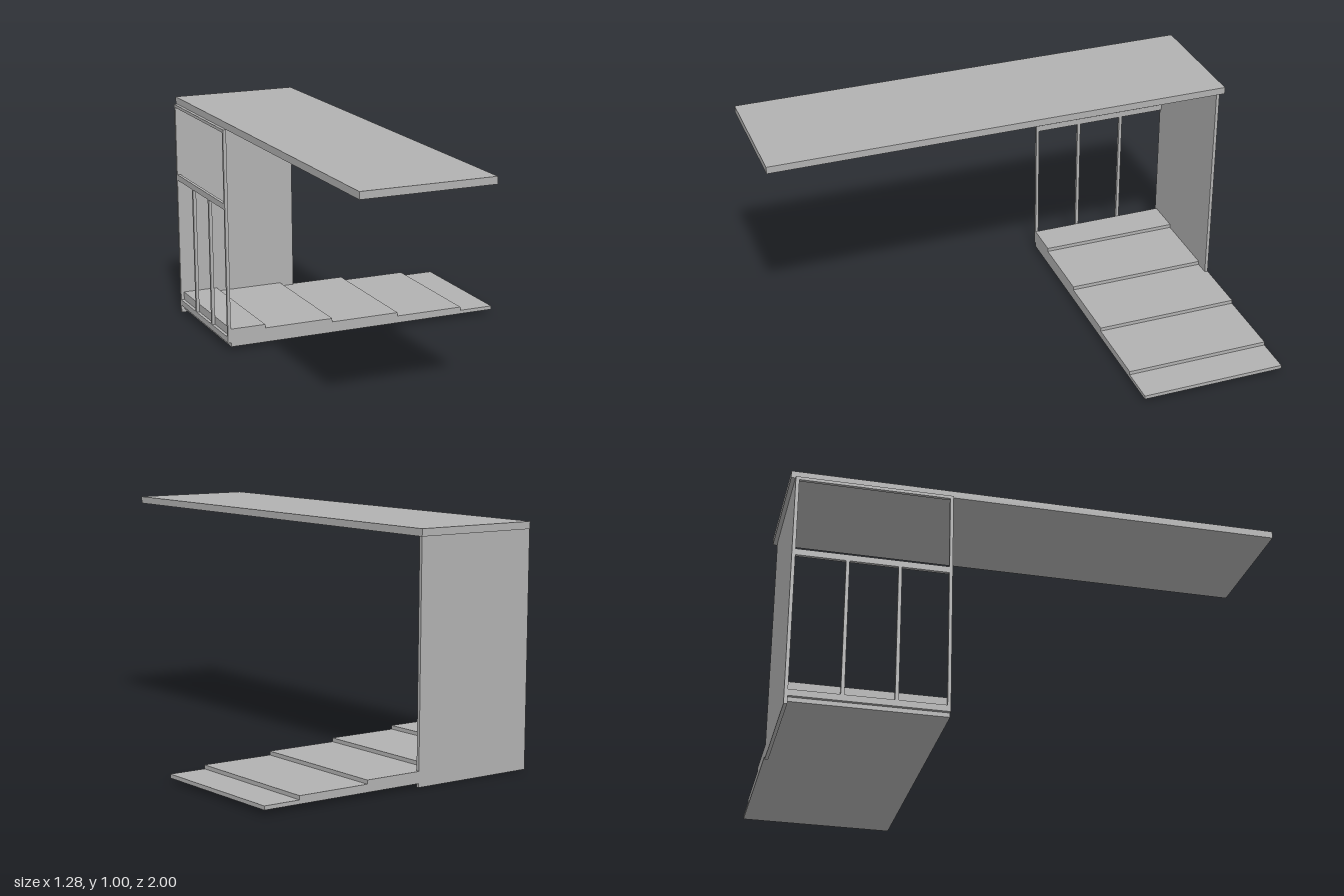
import * as THREE from 'three';

export function createModel() {
  const group = new THREE.Group();
  const grey = new THREE.MeshStandardMaterial({ color: 0xb2b2b2 });
  grey.name = 'plain grey';

  // Box given by its extents on each axis
  const box = (name, [x0, x1], [y0, y1], [z0, z1]) => {
    const mesh = new THREE.Mesh(new THREE.BoxGeometry(x1 - x0, y1 - y0, z1 - z0), grey);
    mesh.position.set((x0 + x1) / 2, (y0 + y1) / 2, (z0 + z1) / 2);
    mesh.name = name;
    group.add(mesh);
  };

  const back = -0.983, wallFront = -0.969, front = -0.354;
  const frameX = [-0.643, -0.629];

  // Long cantilevered roof and the wall that carries it
  box('roof', [-0.629, -0.075], [0.97, 1], [-1, 1]);
  box('wall', [-0.643, -0.089], [0, 0.97], [back, wallFront]);

  // Stepped deck: one solid extruded from its stair profile
  const ends = [-0.471, -0.155, 0.164, 0.481, 0.64];
  const rise = 0.016;
  const profile = new THREE.Shape();
  profile.moveTo(-0.629, rise);
  profile.lineTo(0.64, rise);
  for (let i = 4; i >= 0; i--) {
    const top = rise * (6 - i);
    profile.lineTo(ends[i], top);
    profile.lineTo(i > 0 ? ends[i - 1] : -0.629, top);
  }
  const deck = new THREE.Mesh(
    new THREE.ExtrudeGeometry(profile, { depth: front - back, bevelEnabled: false }), grey);
  deck.position.z = back;
  deck.name = 'steppedDeck';
  group.add(deck);

  // Open window frame on the side: rails, front post and two mullions
  const span = [wallFront, front];
  box('bottomRail', frameX, [0.034, 0.06], span);
  box('middleRail', frameX, [0.624, 0.65], span);
  box('topRail', frameX, [0.957, 0.97], span);
  box('frontPost', frameX, [0.034, 0.97], [front - 0.013, front]);
  for (const z of [-0.561, -0.766]) {
    box('mullion', frameX, [0.06, 0.624], [z - 0.007, z + 0.007]);
  }
  return group;
}
